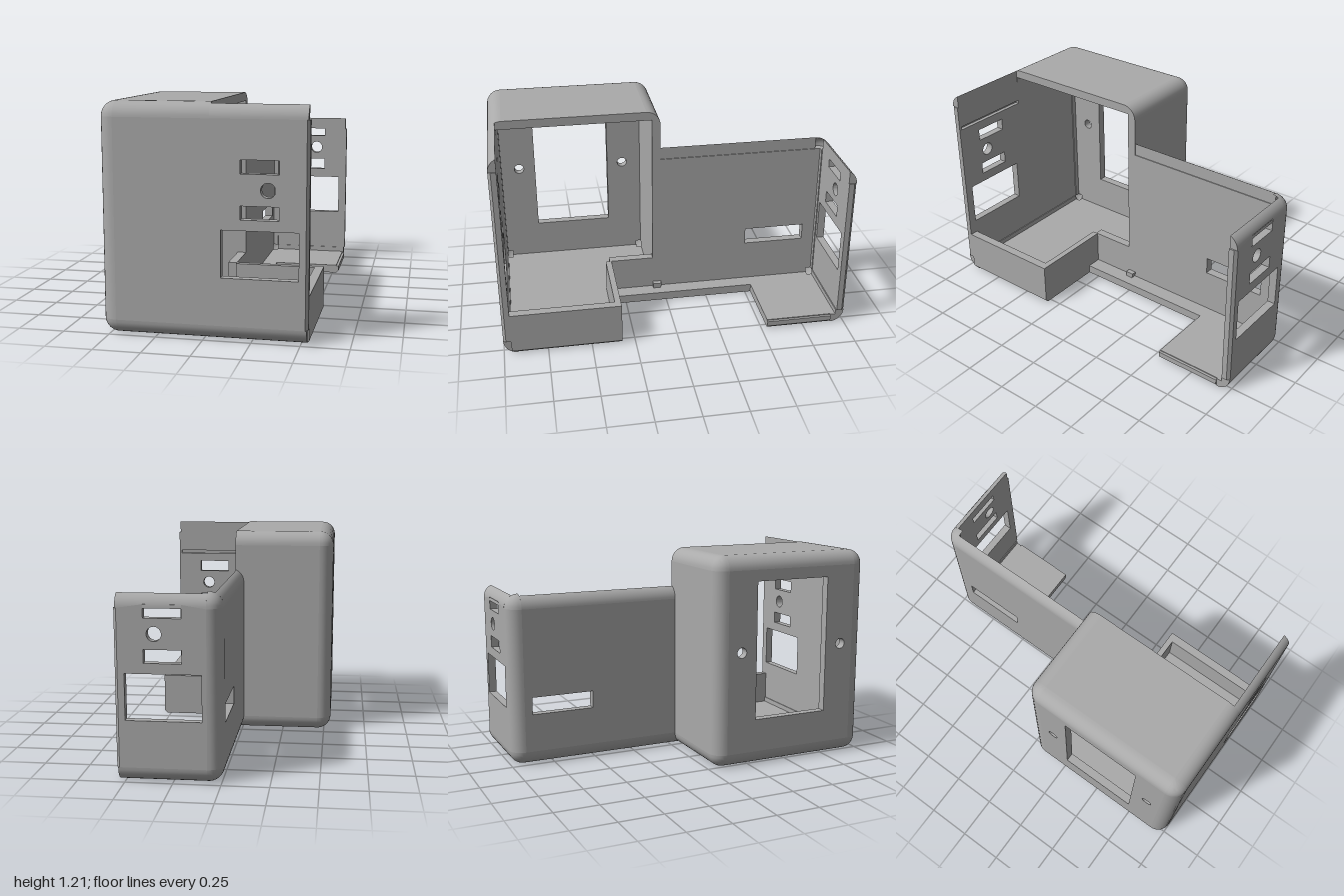
import * as THREE from 'three';
import { toCreasedNormals } from 'three/addons/utils/BufferGeometryUtils.js';

const R = 0.08, T = 0.05;            // outer edge radius, wall thickness
const H = 1.21, LOW = 0.99;          // tall and low heights
const XL = -0.54, XM = -0.01, XR = 0.54, XC = 0.525, RIM = 0.04;

export function createModel() {
  const group = new THREE.Group();
  const grey = new THREE.MeshStandardMaterial({ color: 0xaaaaaa, side: THREE.DoubleSide });
  grey.name = 'grey plastic';

  const add = (name, geometry) => {
    const mesh = new THREE.Mesh(toCreasedNormals(geometry, 0.5), grey);
    mesh.name = name;
    group.add(mesh);
  };
  const poly = (pts, holes = []) => {
    const s = new THREE.Shape(pts.map(p => new THREE.Vector2(...p)));
    s.holes.push(...holes);
    return s;
  };
  const corners = (a, b, c, d) => [[a, b], [c, b], [c, d], [a, d]];
  const rectHole = (a, b, c, d) => poly(corners(a, b, c, d));
  const roundHole = (x, y, r) => new THREE.Path().absarc(x, y, r, 0, Math.PI * 2, true);
  const extrude = (shape, depth) =>
    new THREE.ExtrudeGeometry(shape, { depth, bevelEnabled: false, curveSegments: 12 });

  // Plates: facing z (shape x,y), facing x (shape z,y), facing y (shape x,z)
  const plateZ = (name, shape, z0, z1) => add(name, extrude(shape, z1 - z0).translate(0, 0, z0));
  const plateX = (name, shape, x0, x1) =>
    add(name, extrude(shape, x1 - x0).rotateY(-Math.PI / 2).translate(x1, 0, 0));
  const plateY = (name, shape, y0, y1) =>
    add(name, extrude(shape, y1 - y0).rotateX(Math.PI / 2).translate(0, y1, 0));
  const block = (name, x0, x1, y0, y1, z0, z1) => add(name,
    new THREE.BoxGeometry(x1 - x0, y1 - y0, z1 - z0).translate((x0 + x1) / 2, (y0 + y1) / 2, (z0 + z1) / 2));

  // Strip of a profile along from -> to, with inward directions u and v
  const edge = (name, profile, from, to, u, v) => {
    let a = new THREE.Vector3(...from), b = new THREE.Vector3(...to);
    const U = new THREE.Vector3(...u), V = new THREE.Vector3(...v);
    if (U.clone().cross(V).dot(b.clone().sub(a)) < 0) [a, b] = [b, a];
    const W = b.clone().sub(a);
    const len = W.length();
    const m = new THREE.Matrix4().makeBasis(U, V, W.normalize()).setPosition(a);
    add(name, extrude(profile, len).applyMatrix4(m));
  };
  const arc = uEnd => {
    const pts = [];
    for (let i = 0; i <= 8; i++) {
      const t = Math.acos(1 - uEnd / R) * i / 8;
      pts.push([R - R * Math.cos(t), R - R * Math.sin(t)]);
    }
    return pts;
  };
  const rounded = poly([...arc(R), [R, T], [T, T], [T, R]]);
  const lip = poly([...arc(0.045), [0.045, R]]);
  const chamfer = poly([[0.015, 0], [0.045, 0], [0.045, 0.015], [0, 0.015]]);
  const corner = (name, x, y, z, top, front) => add(name,
    new THREE.SphereGeometry(R, 8, 8, front ? 0 : Math.PI * 1.5, Math.PI / 2,
      top ? 0 : Math.PI / 2, Math.PI / 2).translate(x, y, z));

  // Front and back walls with matching port openings
  const ports = () => [
    rectHole(0.195, 0.86, 0.39, 0.93), rectHole(0.195, 0.63, 0.39, 0.7),
    rectHole(0.095, 0.33, 0.49, 0.575), roundHole(0.335, 0.78, 0.038)];
  plateZ('frontWall', poly(corners(XL + R, R, XC, H - R), ports()), 0.978, 1);
  // Inner layer carries the lid groove
  plateZ('frontWallInner', poly([[XL + R, R], [XC, R], [XC, 0.983], [RIM, 0.983],
    [RIM, 1.003], [XC, 1.003], [XC, H - R], [XL + R, H - R]], ports()), 0.955, 0.978);
  plateZ('backWall', poly(corners(XM + R, R, XC, LOW - R), ports()), -1, -0.955);

  // Tall box walls
  plateX('windowWall', poly(corners(0.02 + R, R, 1 - R, H - R),
    [rectHole(0.28, 0.27, 0.74, 1.065), roundHole(0.185, 0.667, 0.03), roundHole(0.84, 0.667, 0.03)]),
  XL, XL + T);
  plateY('boxTop', poly(corners(XL + R, 0.02 + R, RIM, 1 - R)), H - T, H);
  plateZ('boxBack', poly(corners(XL + R, R, RIM, H - R)), 0.02, 0.02 + T);

  // Low side wall with a slot, continuing as a sill under the box opening
  plateX('sideWall', poly([[-1 + R, R], [-1 + R, LOW - R], [0.04, LOW - R], [0.04, 0.25],
    [0.335, 0.25], [0.335, T], [0.04, T], [0.04, R]], [rectHole(-0.875, 0.3, -0.51, 0.4)]), XM, RIM);

  // Floor with a large side notch
  plateY('floor', poly([[XL + R, 1 - R], [XC, 1 - R], [XC, 0.325], [0.13, 0.325], [0.13, -0.535],
    [XC, -0.535], [XC, -1 + R], [XM + R, -1 + R], [XM + R, 0.02 + R], [XL + R, 0.02 + R]]), 0, T);

  // Small tray walls
  block('traySide', 0.49, XR, 0.015, 0.25, 0.325, 0.956);
  block('trayBack', RIM, 0.49, T, 0.25, 0.325, 0.36);

  // Rounded edges of the tall box
  const px = [1, 0, 0], py = [0, 1, 0], pz = [0, 0, 1], ny = [0, -1, 0], nz = [0, 0, -1];
  const inX = XL + R;
  edge('frontBottomEdge', rounded, [inX, 0, 1], [0.532, 0, 1], nz, py);
  edge('frontTopEdge', rounded, [inX, H, 1], [RIM, H, 1], nz, ny);
  edge('frontTopLip', lip, [RIM, H, 1], [0.532, H, 1], nz, ny);
  edge('boxBackTopEdge', rounded, [inX, H, 0.02], [RIM, H, 0.02], pz, ny);
  edge('boxBackBottomEdge', rounded, [inX, 0, 0.02], [XM + R, 0, 0.02], pz, py);
  edge('boxSideTopEdge', rounded, [XL, H, 0.02 + R], [XL, H, 1 - R], px, ny);
  edge('boxSideBottomEdge', rounded, [XL, 0, 0.02 + R], [XL, 0, 1 - R], px, py);
  edge('boxFrontUpright', rounded, [XL, R, 1], [XL, H - R, 1], px, nz);
  edge('boxBackUpright', rounded, [XL, R, 0.02], [XL, H - R, 0.02], px, pz);
  for (const top of [true, false]) for (const front of [true, false])
    corner('boxCorner', inX, top ? H - R : R, front ? 1 - R : 0.02 + R, top, front);

  // Rounded edges of the low part
  edge('backBottomEdge', rounded, [XM + R, 0, -1], [0.532, 0, -1], pz, py);
  edge('backTopLip', lip, [XM + R, LOW, -1], [0.532, LOW, -1], pz, ny);
  edge('sideBottomEdge', rounded, [XM, 0, -1 + R], [XM, 0, 0.02 + R], px, py);
  edge('sideTopLip', lip, [XM, LOW, -1 + R], [XM, LOW, 0.04], px, ny);
  edge('backUpright', rounded, [XM, R, -1], [XM, LOW - R, -1], px, pz);
  for (const top of [true, false])
    corner('lowCorner', XM + R, top ? LOW - R : R, -1 + R, top, false);

  // Chamfered rim on the open side
  const nx = [-1, 0, 0];
  edge('frontRim', chamfer, [XR, R, 1], [XR, H - R, 1], nz, nx);
  edge('backRim', chamfer, [XR, R, -1], [XR, LOW - R, -1], pz, nx);
  edge('floorRimFront', chamfer, [XR, 0, 0.325], [XR, 0, 1 - R], py, nx);
  edge('floorRimBack', chamfer, [XR, 0, -1 + R], [XR, 0, -0.535], py, nx);

  return group;
}
